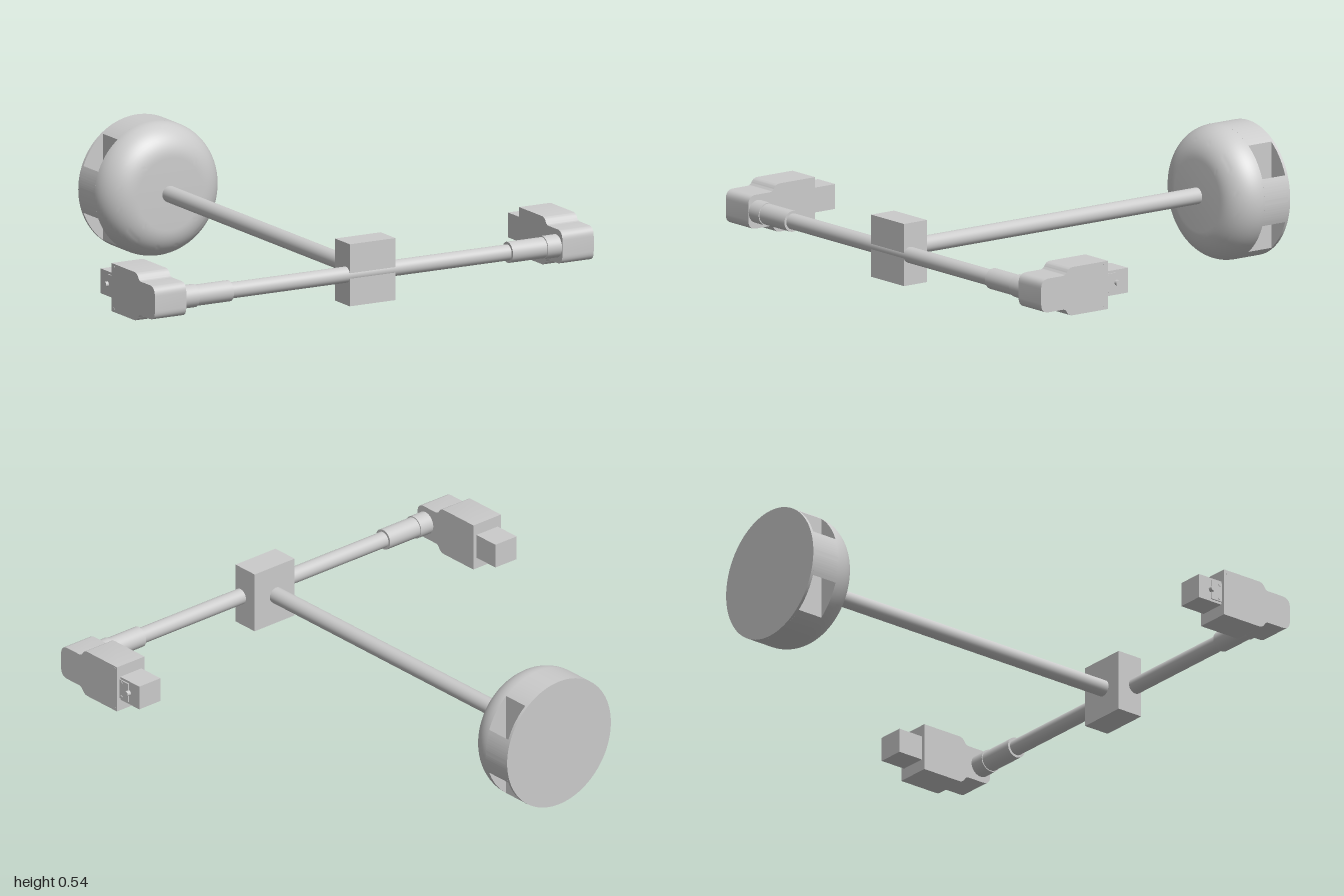
import * as THREE from 'three';
import { toCreasedNormals } from 'three/addons/utils/BufferGeometryUtils.js';

const CY = 0.277; // height of the common axis
const material = new THREE.MeshStandardMaterial({ color: 0xcccccc });

function add(parent, name, geometry, x = 0, y = 0, z = 0) {
  const mesh = new THREE.Mesh(geometry, material);
  mesh.name = name;
  mesh.position.set(x, y, z);
  parent.add(mesh);
  return mesh;
}

const box = (w, h, d) => new THREE.BoxGeometry(w, h, d);
const rodX = (r, length, r2 = r) => new THREE.CylinderGeometry(r, r2, length, 40).rotateZ(-Math.PI / 2);
const rodZ = (r, length) => new THREE.CylinderGeometry(r, r, length, 40).rotateX(Math.PI / 2);

// Round cup with a filleted front and two slots running through it vertically
function makeCup() {
  const cup = new THREE.Group();
  cup.name = 'cup';
  const R = 0.27, slotIn = 0.165, slotOut = 0.253, back = -0.9, front = -0.785, fillet = 0.125;

  const profile = [[0, front], [R, front]].map(p => new THREE.Vector2(...p));
  for (let i = 0; i <= 16; i++) {
    const a = (i / 16) * Math.PI / 2;
    profile.push(new THREE.Vector2(R - fillet + fillet * Math.cos(a), -0.66 - fillet + fillet * Math.sin(a) + 1e-4));
  }
  profile.push(new THREE.Vector2(0, -0.6599));
  add(cup, 'cupDome', toCreasedNormals(new THREE.LatheGeometry(profile, 96).rotateX(Math.PI / 2), 0.6));

  const slab = shape => toCreasedNormals(
    new THREE.ExtrudeGeometry(shape, { depth: front - back, bevelEnabled: false, curveSegments: 32 }), 0.4);
  const inner = Math.acos(slotIn / R), outer = Math.acos(slotOut / R);

  // Core between the slots
  const core = new THREE.Shape();
  core.absarc(0, 0, R, inner, Math.PI - inner, false);
  core.absarc(0, 0, R, Math.PI + inner, 2 * Math.PI - inner, false);
  core.closePath();
  add(cup, 'cupCore', slab(core), 0, 0, back);

  // Thin wall outside each slot
  for (const start of [0, Math.PI]) {
    const wall = new THREE.Shape();
    wall.absarc(0, 0, R, start - outer, start + outer, false);
    wall.closePath();
    add(cup, 'cupSideWall', slab(wall), 0, 0, back);
  }

  const plate = new THREE.CylinderGeometry(R, R, 0.012, 96).rotateX(Math.PI / 2);
  add(cup, 'cupBackPlate', plate, 0, 0, back - 0.005);
  cup.position.set(-0.003, CY, 0);
  return cup;
}

// Side outline of the end housing: x is depth, y is height about the axis
function housingGeometry() {
  const s = new THREE.Shape();
  s.moveTo(0.575, -0.097);
  s.lineTo(0.75, -0.097);
  s.quadraticCurveTo(0.77, -0.097, 0.78, -0.08);
  s.quadraticCurveTo(0.787, -0.068, 0.8, -0.068);
  s.lineTo(0.87, -0.068);
  s.quadraticCurveTo(0.908, -0.068, 0.908, -0.03);
  s.lineTo(0.908, 0.03);
  s.quadraticCurveTo(0.908, 0.068, 0.87, 0.068);
  s.lineTo(0.8, 0.068);
  s.quadraticCurveTo(0.787, 0.068, 0.78, 0.08);
  s.quadraticCurveTo(0.77, 0.097, 0.75, 0.097);
  s.lineTo(0.575, 0.097);
  s.closePath();
  const g = new THREE.ExtrudeGeometry(s, { depth: 0.143, bevelEnabled: false, curveSegments: 8 });
  return toCreasedNormals(g.translate(0, 0, -0.0715).rotateY(-Math.PI / 2), 0.5);
}

// Connector at one end of the crossbar
function makeConnector(side) {
  const g = new THREE.Group();
  g.name = side > 0 ? 'leftConnector' : 'rightConnector';
  const put = (name, geo, x, y, z) => add(g, name, geo, side * x, y, z);

  put('housing', housingGeometry(), 0.9275, 0, 0);
  put('sleeve', rodX(0.042, 0.17), 0.72, 0, 0.86);
  put('collar', rodX(0.046, 0.07), 0.828, 0, 0.86);
  put('plugTip', box(0.11, 0.1, 0.12), 0.927, 0, 0.522);

  // Cheek plate, hinge pin and screws on the outer face of the tip
  put('cheekPlate', box(0.006, 0.08, 0.06), 0.984, 0, 0.552);
  put('hingePin', rodX(0.011, 0.02), 0.989, 0, 0.522);
  for (const y of [-0.03, 0.03]) put('tipScrew', rodX(0.006, 0.006), 0.987, y, 0.562);
  for (const y of [-0.085, 0.085]) put('housingScrew', rodX(0.006, 0.004), 0.998, y, 0.59);

  g.position.y = CY;
  return g;
}

export function createModel() {
  const model = new THREE.Group();
  model.name = 'model';

  model.add(makeCup());
  add(model, 'shaft', rodZ(0.033, 1.46), -0.005, CY, 0.06);
  add(model, 'centreBlock', box(0.208, 0.25, 0.114), 0.003, 0.28, 0.833);
  add(model, 'crossbar', rodX(0.032, 1.6), 0, CY, 0.86);
  for (const side of [1, -1]) model.add(makeConnector(side));

  return model;
}
